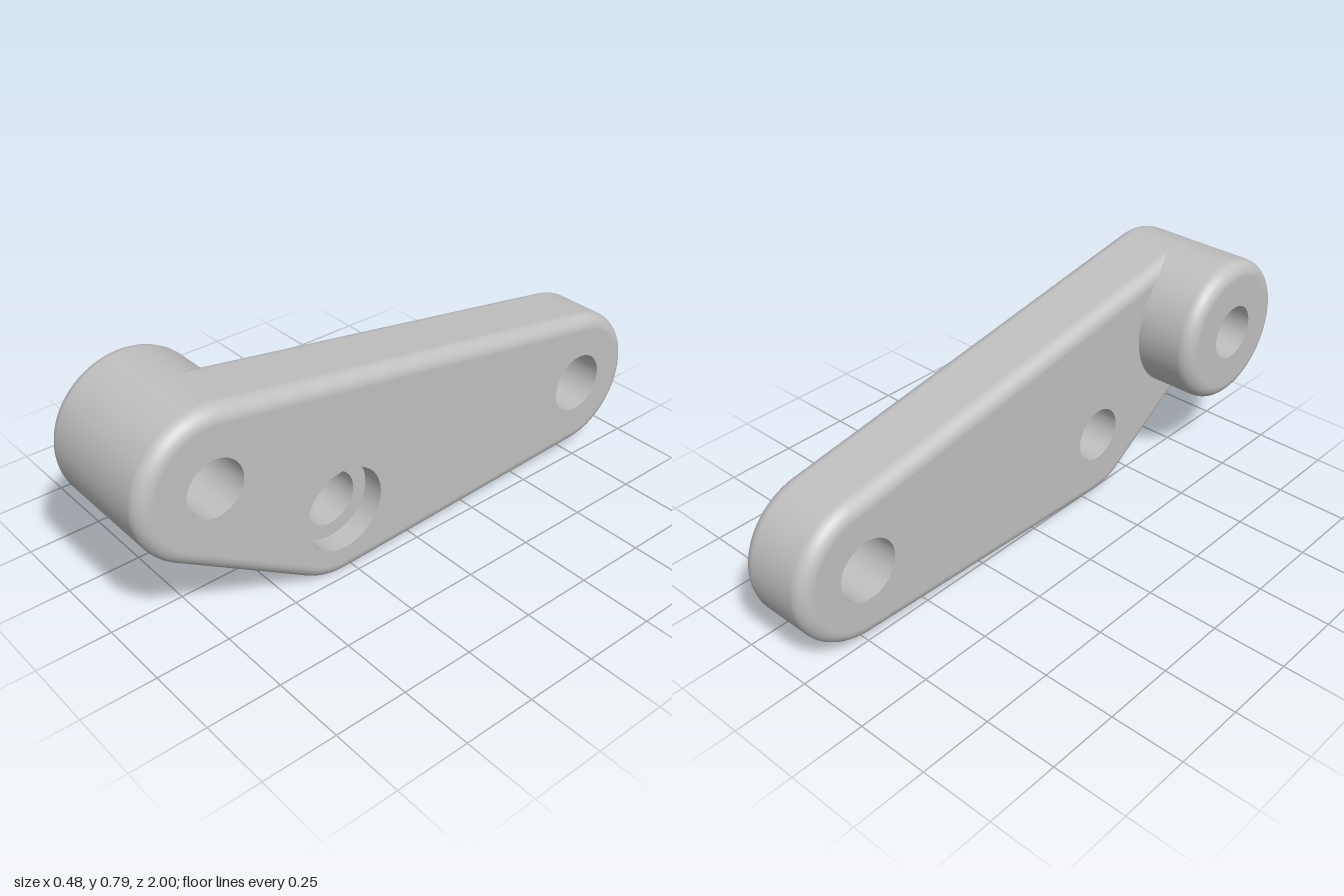
import * as THREE from 'three';

const R = 0.25, FILLET = 0.05, LEFT = 0.24, PLATE = -0.03, BOSS = -0.24, BORE = 0.165;

// Centres as (z, y)
const FRONT = new THREE.Vector2(0.75, 0.54);
const BACK = new THREE.Vector2(-0.75, 0.29);
const LOW = new THREE.Vector2(0.295, 0.25);

// Closed outline around one or more corner centres: list of [centre, outward angle]
function outline(centres) {
  const TAU = Math.PI * 2, n = centres.length, pts = [];
  if (n === 1) {
    for (let i = 0; i <= 96; i++) pts.push([centres[0], (i / 96) * TAU]);
    return pts;
  }
  const normal = (a, b) => Math.atan2(b.y - a.y, b.x - a.x) - Math.PI / 2;
  centres.forEach((c, k) => {
    const from = normal(centres[(k + n - 1) % n], c);
    const sweep = (((normal(c, centres[(k + 1) % n]) - from) % TAU) + TAU) % TAU;
    for (let i = 0; i <= 32; i++) pts.push([c, from + (sweep * i) / 32]);
  });
  pts.push(pts[0]);
  return pts;
}

// Wall swept along an outline; profile rows are [x, radius, normalX, normalOut]
function wall(ring, profile) {
  const pos = [], nor = [], idx = [], m = profile.length;
  ring.forEach(([c, a], i) => {
    const u = Math.cos(a), v = Math.sin(a);
    profile.forEach(([x, r, nx, nr], j) => {
      pos.push(x, c.y + r * v, c.x + r * u);
      nor.push(nx, nr * v, nr * u);
      if (i < ring.length - 1 && j < m - 1) {
        const p = i * m + j, q = p + m;
        idx.push(p, p + 1, q, p + 1, q + 1, q);
      }
    });
  });
  const g = new THREE.BufferGeometry();
  g.setAttribute('position', new THREE.Float32BufferAttribute(pos, 3));
  g.setAttribute('normal', new THREE.Float32BufferAttribute(nor, 3));
  g.setIndex(idx);
  return g;
}

// Quarter-round edge at end x; side is -1 or +1
function fillet(x, side) {
  const rows = [];
  for (let i = 0; i <= 8; i++) {
    const a = (i / 8) * Math.PI / 2, s = Math.sin(a), c = Math.cos(a);
    rows.push([x - side * FILLET * (1 - s), R - FILLET * (1 - c), side * s, c]);
  }
  return side < 0 ? rows.reverse() : rows;
}

// Turn a geometry inside out
function flip(g) {
  const a = g.index.array;
  for (let i = 0; i < a.length; i += 3) [a[i], a[i + 1]] = [a[i + 1], a[i]];
  const n = g.attributes.normal;
  for (let i = 0; i < n.count; i++) n.setXYZ(i, -n.getX(i), -n.getY(i), -n.getZ(i));
  return g;
}

// Flat face at x with round holes [centre, radius]
function face(ring, r, holes, x, side) {
  const pts = ring.slice(0, -1).map(([c, a]) =>
    new THREE.Vector2(c.x + r * Math.cos(a), c.y + r * Math.sin(a)));
  const shape = new THREE.Shape(pts);
  for (const [c, hr] of holes)
    shape.holes.push(new THREE.Path().absarc(c.x, c.y, hr, 0, Math.PI * 2, true));
  const g = new THREE.ShapeGeometry(shape, 32).rotateY(-Math.PI / 2).translate(x, 0, 0);
  return side > 0 ? flip(g) : g;
}

// Inner wall of a round hole between two x positions
function holeWall(c, r, x0, x1) {
  return flip(new THREE.CylinderGeometry(r, r, x1 - x0, 64, 1, true)
    .rotateZ(Math.PI / 2).translate((x0 + x1) / 2, c.y, c.x));
}

export function createModel() {
  const model = new THREE.Group();
  model.name = 'leverArm';
  const grey = new THREE.MeshStandardMaterial({ color: 0xc0c0c0 });
  grey.name = 'plain grey';
  const add = (name, g) => {
    const mesh = new THREE.Mesh(g, grey);
    mesh.name = name;
    model.add(mesh);
  };

  const armRing = outline([FRONT, BACK, LOW]);
  const frontHole = [FRONT, 0.095], backHole = [BACK, 0.105], lowHole = [LOW, 0.095];
  const counterbore = [LOW, 0.145];

  // Flat arm with rounded rims
  add('armEdge', wall(armRing, [...fillet(PLATE, -1), ...fillet(LEFT, 1)]));
  add('armLeftFace', face(armRing, R - FILLET, [frontHole, backHole, counterbore], LEFT, 1));
  add('armRightFace', face(armRing, R - FILLET, [frontHole, backHole, lowHole], PLATE, -1));

  // Round boss, running into the arm's rim
  const bossRing = outline([FRONT]);
  add('bossEdge', wall(bossRing, [...fillet(BOSS, -1), [PLATE + FILLET, R, 0, 1]]));
  add('bossFace', face(bossRing, R - FILLET, [frontHole], BOSS, -1));

  // Through holes and the stepped recess
  add('frontHole', holeWall(...frontHole, BOSS, LEFT));
  add('backHole', holeWall(...backHole, PLATE, LEFT));
  add('lowHole', holeWall(...lowHole, PLATE, BORE));
  add('counterboreWall', holeWall(...counterbore, BORE, LEFT));
  add('counterboreFloor', face(outline([LOW]), counterbore[1], [lowHole], BORE, 1));
  return model;
}
